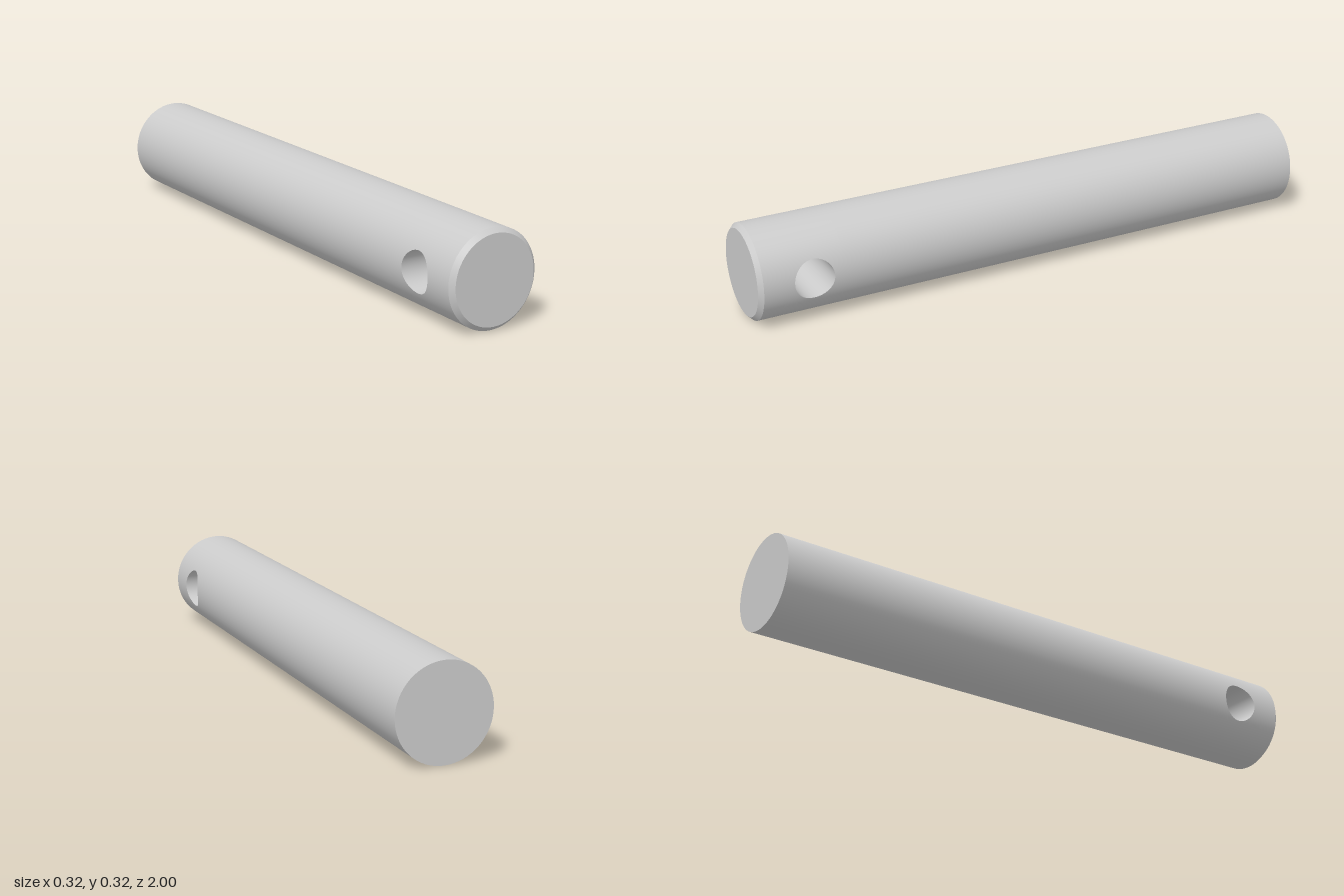
import * as THREE from 'three';

const R = 0.159;          // pin radius
const SEGMENTS = 64;      // sides around the pin
const CHAMFER = 0.015;
const HOLE_Z = 0.816, HOLE_R = 0.067, HALF = 0.1; // cross hole and half length of its section

// Regular grid surface; point(u, v) returns { p, n } (position and normal).
function gridSurface(nu, nv, point) {
  const pos = [], nor = [], index = [];
  for (let j = 0; j <= nv; j++) {
    for (let i = 0; i <= nu; i++) {
      const { p, n } = point(i / nu, j / nv);
      pos.push(...p);
      nor.push(...n);
      if (i < nu && j < nv) {
        const a = j * (nu + 1) + i, b = a + nu + 1;
        index.push(a, a + 1, b, a + 1, b + 1, b);
      }
    }
  }
  const g = new THREE.BufferGeometry();
  g.setAttribute('position', new THREE.Float32BufferAttribute(pos, 3));
  g.setAttribute('normal', new THREE.Float32BufferAttribute(nor, 3));
  g.setIndex(index);
  return g;
}

// Half of the drilled section: rings blend from the hole edge to a wrapped rectangle.
function drilledHalf() {
  return gridSurface(128, 14, (u, v) => {
    const side = Math.min(3, Math.floor(u * 4));
    const f = (u * 4 - side) * 2 - 1;
    const turn = side * Math.PI / 2, t = turn + f * Math.PI / 4;
    const c = Math.cos(turn), s = Math.sin(turn);
    const outerZ = HALF * (c - f * s);
    const outerA = (Math.PI / 2) * (s + f * c);
    const innerZ = HOLE_R * Math.cos(t);
    const innerA = Math.asin(HOLE_R * Math.sin(t) / R);
    const z = THREE.MathUtils.lerp(innerZ, outerZ, v);
    const a = THREE.MathUtils.lerp(innerA, outerA, v);
    const n = [Math.cos(a), Math.sin(a), 0];
    return { p: [R * n[0], R * n[1], HOLE_Z + z], n };
  });
}

// Inner wall of the cross hole, running from one side of the pin to the other.
function holeWall() {
  return gridSurface(128, 1, (u, v) => {
    const t = -Math.PI / 4 - u * Math.PI * 2;
    const y = HOLE_R * Math.sin(t), z = HOLE_R * Math.cos(t);
    const x = Math.sqrt(R * R - y * y) * (1 - 2 * v);
    return { p: [x, y, HOLE_Z + z], n: [0, -Math.sin(t), -Math.cos(t)] };
  });
}

// Open tube along z between two stations.
function tube(z0, z1, r0, r1) {
  return new THREE.CylinderGeometry(r1, r0, z1 - z0, SEGMENTS, 1, true)
    .rotateX(Math.PI / 2)
    .translate(0, 0, (z0 + z1) / 2);
}

export function createModel() {
  const group = new THREE.Group();
  group.name = 'clevisPin';
  const material = new THREE.MeshStandardMaterial({ color: 0xcccccc });
  const add = (name, geometry) => {
    const mesh = new THREE.Mesh(geometry, material);
    mesh.name = name;
    mesh.position.y = R;
    group.add(mesh);
  };

  // Plain shaft and flat rear end
  add('shaft', tube(-1, HOLE_Z - HALF, R, R));
  add('rearFace', new THREE.CircleGeometry(R, SEGMENTS).rotateY(Math.PI).translate(0, 0, -1));

  // Section with the cross hole
  add('drilledSectionLeft', drilledHalf());
  add('drilledSectionRight', drilledHalf().rotateZ(Math.PI));
  add('crossHole', holeWall());

  // Chamfered front tip
  add('tip', tube(HOLE_Z + HALF, 1 - CHAMFER, R, R));
  add('chamfer', tube(1 - CHAMFER, 1, R, R - CHAMFER));
  add('frontFace', new THREE.CircleGeometry(R - CHAMFER, SEGMENTS).translate(0, 0, 1));

  return group;
}
